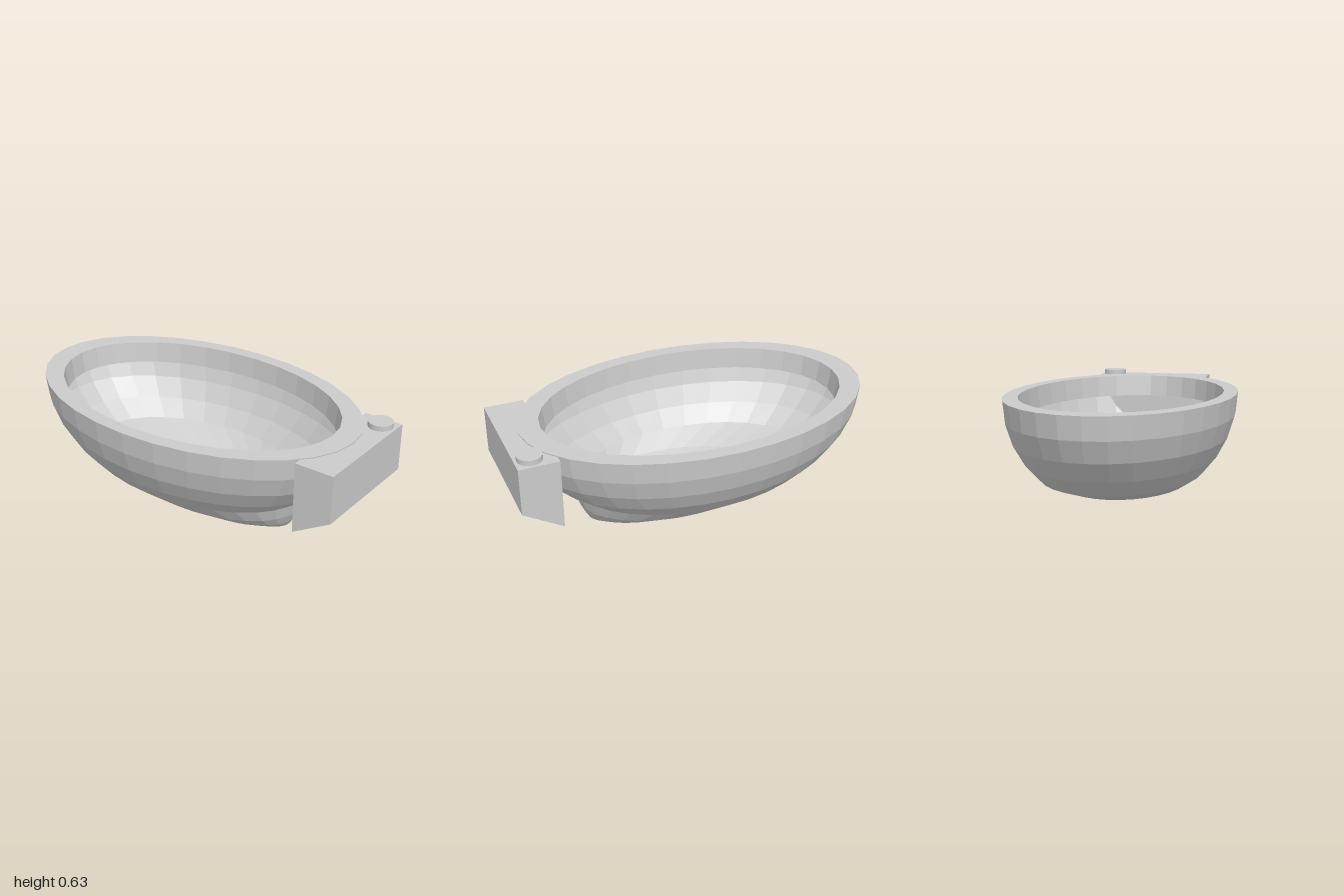
import * as THREE from 'three';

const material = new THREE.MeshStandardMaterial({ color: 0xcccccc, flatShading: true, side: THREE.DoubleSide });
const SEGMENTS = 32, RINGS = 8, DEPTH = 0.605, HALF_LENGTH = 0.955, CENTRE = -0.045;

// Elliptical cross-section of the basin, one ring per latitude step
function ring(step, scale = 1, shift = 0) {
  const a = (step / RINGS) * Math.PI / 2;
  return {
    x: CENTRE + shift,
    y: DEPTH * (1 - Math.sin(a)) + 0.002,
    rx: HALF_LENGTH * Math.cos(a) * scale,
    rz: DEPTH * Math.cos(a) * scale,
  };
}

// Skin a list of rings
function loft(rings) {
  const positions = [], index = [];
  rings.forEach((r, j) => {
    for (let i = 0; i < SEGMENTS; i++) {
      const t = (i / SEGMENTS) * Math.PI * 2;
      positions.push(r.x + r.rx * Math.cos(t), r.y, r.rz * Math.sin(t));
      if (j === 0) continue;
      const n = (i + 1) % SEGMENTS, up = (j - 1) * SEGMENTS, low = j * SEGMENTS;
      index.push(up + i, up + n, low + i);
      if (r.rx > 1e-6) index.push(up + n, low + n, low + i);
    }
  });
  const geometry = new THREE.BufferGeometry();
  geometry.setAttribute('position', new THREE.Float32BufferAttribute(positions, 3));
  geometry.setIndex(index);
  geometry.computeVertexNormals();
  return geometry;
}

export function createModel() {
  const group = new THREE.Group();
  const add = (name, geometry) => {
    const mesh = new THREE.Mesh(geometry, material);
    mesh.name = name;
    group.add(mesh);
    return mesh;
  };

  // Bowl: half ellipsoid whose lower rings slide towards the tank
  const shifts = [0, 0, 0, 0, 0, 0.125, 0.265, 0.425, 0.425];
  add('bowl', loft(shifts.map((s, k) => ring(k, 1, s))));

  // Flat rim with a short lip hanging inside
  add('rim', loft([ring(1, 0.875), ring(0, 0.875), ring(0)]));

  // Tank: wedge with a sloping underside
  const side = new THREE.Shape([
    new THREE.Vector2(0.79, 0.22),
    new THREE.Vector2(1, 0.345),
    new THREE.Vector2(1, 0.602),
    new THREE.Vector2(0.79, 0.602),
  ]);
  const tank = new THREE.ExtrudeGeometry(side, { depth: 0.66, bevelEnabled: false });
  add('tank', tank.translate(0, 0, -0.33));

  // Flush button
  add('button', new THREE.CylinderGeometry(0.065, 0.065, 0.04, 32)).position.set(0.92, 0.61, -0.25);

  return group;
}
